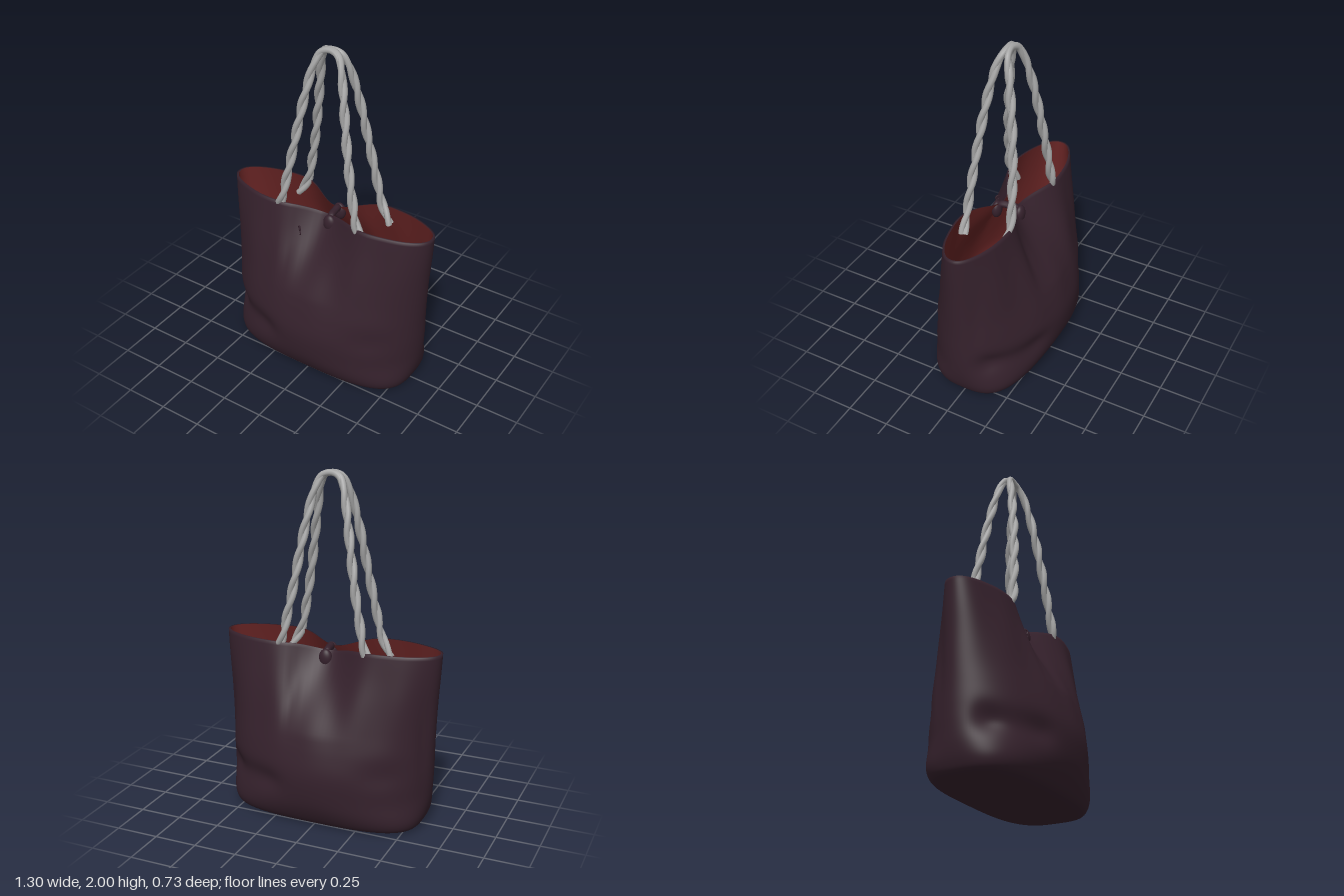
import * as THREE from 'three';

const leather = new THREE.MeshStandardMaterial({ color: 0x35212c });
leather.name = 'plum leather';
const red = new THREE.MeshStandardMaterial({ color: 0x652323 });
red.name = 'red lining';
const rope = new THREE.MeshStandardMaterial({ color: 0xa6a6a6 });
rope.name = 'grey rope';

// Bag profile: height, half width, half depth
const LEVELS = [
  [0, 0.52, 0.235], [0.015, 0.56, 0.27], [0.06, 0.585, 0.305], [0.14, 0.604, 0.342], [0.24, 0.614, 0.362],
  [0.34, 0.618, 0.365], [0.46, 0.62, 0.343], [0.6, 0.625, 0.303], [0.75, 0.632, 0.26],
  [0.9, 0.643, 0.215], [1.033, 0.652, 0.18],
].map(p => new THREE.Vector3(...p));
const SIDES = 144;

const bump = (d, w) => Math.exp(-(d * d) / (w * w));

// Point on the bag wall: squarish base, oval middle, pinched at the closure, with folds and dents
function wall(level, a, inset = 0) {
  const { x: y, y: w, z: d } = level;
  const c = Math.cos(a), s = Math.sin(a);
  const e = 2 / (1.95 + 1.2 * bump(y, 0.12) + 0.25 * THREE.MathUtils.smoothstep(y, 0.5, 1));
  // Notch above two opposite base corners
  const notch = 1 - 0.06 * bump(s * c + 0.42, 0.14) * bump(y - 0.26, 0.07);
  const x = notch * (w - inset) * Math.sign(c) * Math.abs(c) ** e;
  let z = notch * (d - inset) * Math.sign(s) * Math.abs(s) ** e;
  const up = Math.max(0, (y - 0.55) / 0.48) ** 1.5;
  z *= 1 - 0.74 * up * bump(x, 0.19);
  // Vertical folds hang from the rim, a dent sits above the base
  const fold = 0.005 * Math.sin(x * 26 + (s > 0 ? 0 : 1.7)) * bump(y - 0.75, 0.25)
    - 0.012 * bump(x + 0.16 * Math.sign(s), 0.03) * bump(y - 0.8, 0.17);
  const dent = 0.02 * bump(x - 0.43 * Math.sign(s), 0.13) * bump(y - 0.36, 0.08);
  z += s * (fold - dent);
  // Side gusset tucks inward behind its middle
  const tuck = 0.015 * bump(z + 0.1, 0.04) * bump(y - 0.6, 0.28) * Math.abs(c) ** 4;
  const dip = 0.045 * bump(x, 0.14) * up;
  return new THREE.Vector3(x - Math.sign(c) * tuck, y - dip, z);
}

// Closed skin through rings of points
function skin(rings, inward) {
  const pos = [], idx = [];
  rings.forEach(r => r.forEach(p => pos.push(p.x, p.y, p.z)));
  for (let i = 0; i < rings.length - 1; i++) {
    for (let j = 0; j < SIDES; j++) {
      const k = (j + 1) % SIDES;
      const a = i * SIDES + j, b = a + SIDES, c = i * SIDES + k, d = c + SIDES;
      if (inward) idx.push(a, c, b, b, c, d);
      else idx.push(a, b, c, b, d, c);
    }
  }
  const g = new THREE.BufferGeometry();
  g.setAttribute('position', new THREE.Float32BufferAttribute(pos, 3));
  g.setIndex(idx);
  g.computeVertexNormals();
  return g;
}

function ring(level, inset) {
  return Array.from({ length: SIDES }, (_, j) => wall(level, (j / SIDES) * Math.PI * 2, inset));
}

function add(parent, name, geometry, material) {
  const m = new THREE.Mesh(geometry, material);
  m.name = name;
  parent.add(m);
  return m;
}

// Rope strand winding around a handle curve, merging into one cord at the top
function strand(curve, phase) {
  const pts = [], n = 180, side = new THREE.Vector3(), out = new THREE.Vector3();
  for (let i = 0; i <= n; i++) {
    const t = i / n, p = curve.getPointAt(t), tan = curve.getTangentAt(t);
    side.set(0, 0, 1).addScaledVector(tan, -tan.z).normalize();
    out.crossVectors(tan, side);
    const a = phase + t * Math.PI * 14;
    const r = 0.0115 - 0.0085 * bump(t - 0.5, 0.09);
    pts.push(p.addScaledVector(side, r * Math.cos(a)).addScaledVector(out, r * Math.sin(a)));
  }
  return new THREE.TubeGeometry(new THREE.CatmullRomCurve3(pts), 240, 0.0175, 8);
}

export function createModel() {
  const bag = new THREE.Group();
  bag.name = 'toteBag';

  // Outer shell with flat base and rolled rim
  const levels = new THREE.CatmullRomCurve3(LEVELS).getPoints(70);
  const top = levels[levels.length - 1];
  const outer = levels.map(l => ring(l, 0));
  const base = [0, 0.5, 0.97].map(f => outer[0].map(p => new THREE.Vector3(p.x * f, 0, p.z * f)));
  add(bag, 'bagShell', skin([...base, ...outer, ring(top, 0.012)]), leather);

  // Lining with its floor
  const inner = levels.filter(l => l.x > 0.02).map(l => ring(l, 0.012));
  const floor = inner[0].map(p => new THREE.Vector3(0, p.y, 0));
  add(bag, 'lining', skin([floor, ...inner], true), red);

  // Closure strap over the opening, with a button tab on each side
  const strap = new THREE.CatmullRomCurve3([
    [0.01, 0.95, -0.06], [0.012, 0.982, -0.045], [0.018, 0.985, 0], [0.025, 0.982, 0.045], [0.03, 0.95, 0.06],
  ].map(p => new THREE.Vector3(...p)));
  add(bag, 'closureStrap', new THREE.TubeGeometry(strap, 24, 0.02, 10), leather);
  for (const [name, x, z] of [['frontButton', 0.032, 0.068], ['backButton', 0.01, -0.068]]) {
    const button = add(bag, name, new THREE.SphereGeometry(1, 24, 16), leather);
    button.scale.set(0.04, 0.054, 0.028);
    button.position.set(x, 0.945, z);
  }

  // Small stitched rings beside the closure
  for (const dy of [-0.014, 0.014]) {
    const s = add(bag, 'stitchRing', new THREE.TorusGeometry(0.013, 0.004, 6, 16), leather);
    s.position.copy(wall(LEVELS[9], Math.acos(-0.16)));
    s.position.y += dy;
    s.position.z += 0.004;
    s.rotation.y = -0.6;
  }

  // Two twisted rope handles leaning together at the top
  const half = [
    [0.31, 0.93, 0.128], [0.25, 1.04, 0.136], [0.215, 1.2, 0.127], [0.173, 1.42, 0.108],
    [0.14, 1.62, 0.085], [0.107, 1.8, 0.057], [0.083, 1.9, 0.036], [0.05, 1.963, 0.015],
  ];
  for (const [name, dir] of [['frontHandle', 1], ['backHandle', -1]]) {
    const pts = [
      ...half.map(([x, y, z]) => new THREE.Vector3(-x, y, z * dir)),
      new THREE.Vector3(0, 1.979, 0.006 * dir),
      ...half.slice().reverse().map(([x, y, z]) => new THREE.Vector3(x, y, z * dir)),
    ];
    const curve = new THREE.CatmullRomCurve3(pts);
    const handle = new THREE.Group();
    handle.name = name;
    for (const phase of [0, Math.PI]) add(handle, 'ropeStrand', strand(curve, phase), rope);
    bag.add(handle);
  }
  return bag;
}
